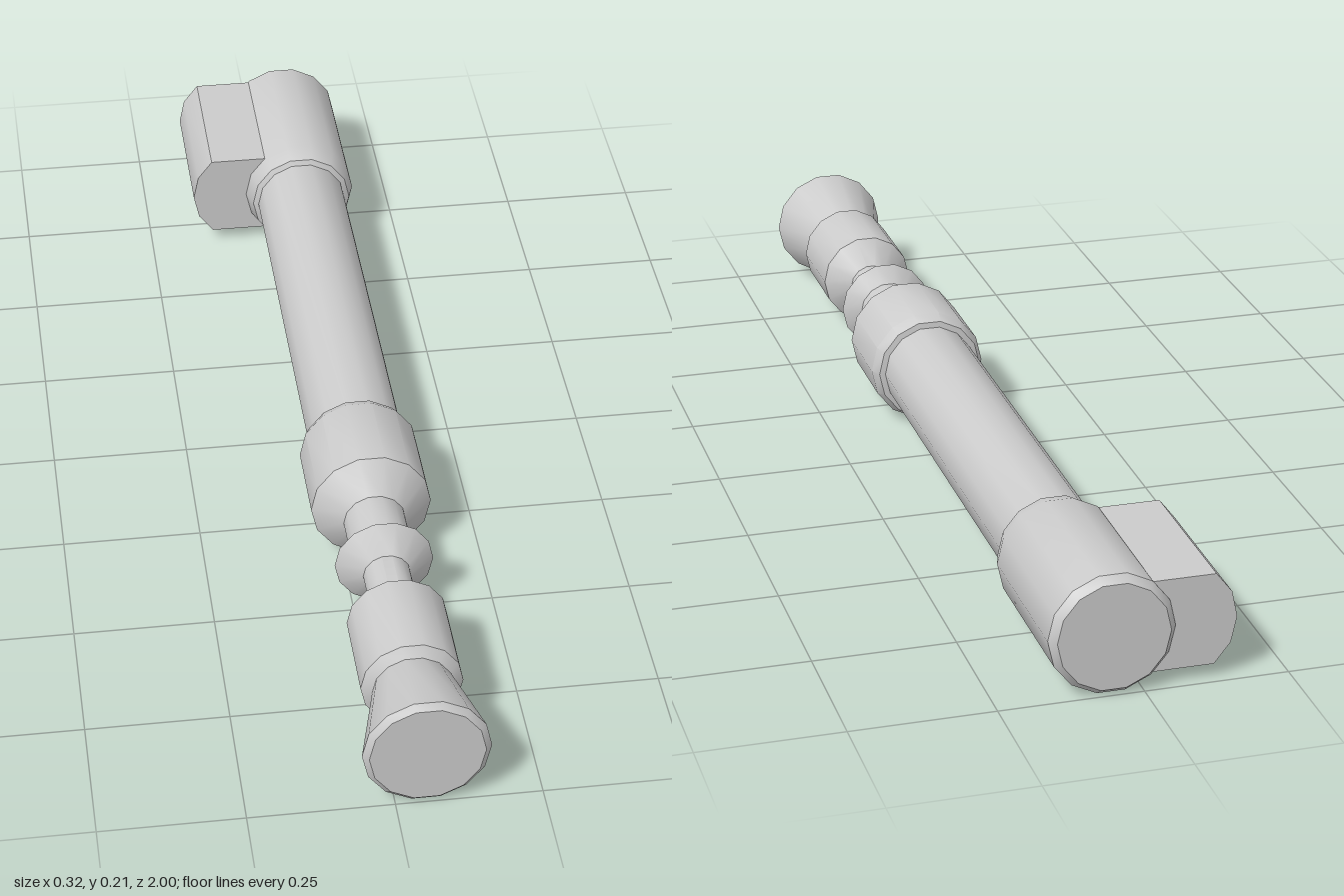
import * as THREE from 'three';
import { toCreasedNormals } from 'three/addons/utils/BufferGeometryUtils.js';

const AXIS_X = 0.053, AXIS_Y = 0.106, SIDES = 14;
const material = new THREE.MeshStandardMaterial({ color: 0xcccccc });

// Turned part along z; profile points are [radius, z] from back to front.
function turned(name, profile) {
  const points = profile.map(([r, z]) => new THREE.Vector2(r, z));
  const geometry = new THREE.LatheGeometry(points, SIDES, Math.PI / 2);
  geometry.rotateX(Math.PI / 2);
  const mesh = new THREE.Mesh(toCreasedNormals(geometry, 0.55), material);
  mesh.name = name;
  mesh.position.set(AXIS_X, AXIS_Y, 0);
  return mesh;
}

export function createModel() {
  const group = new THREE.Group();
  group.name = 'handle';

  // Rear housing with bevelled end and stepped front collar
  group.add(turned('rearHousing', [
    [0, -1], [0.097, -1], [0.109, -0.985], [0.109, -0.69], [0.098, -0.655], [0.088, -0.65],
  ]));

  // Long plain tube
  group.add(turned('tube', [[0.088, -0.66], [0.088, 0.17]]));

  // Front collar, tapering down to the neck
  group.add(turned('collar', [
    [0.088, 0.155], [0.099, 0.157], [0.109, 0.178], [0.109, 0.34], [0.056, 0.385],
  ]));

  // Neck with its sharp ring
  group.add(turned('neckRing', [
    [0.056, 0.385], [0.056, 0.475], [0.088, 0.5], [0.042, 0.535], [0.042, 0.615],
  ]));

  // Emitter body and flared front
  group.add(turned('emitter', [
    [0.042, 0.615], [0.088, 0.655], [0.088, 0.825], [0.07, 0.838],
  ]));
  group.add(turned('flare', [[0.07, 0.838], [0.109, 0.99], [0.098, 1], [0, 1]]));

  // Side box: rounded outer face, buried in the housing on the inner side
  const outline = [
    [AXIS_X, 0.024], [AXIS_X, 0.189], [-0.125, 0.189], [-0.153, 0.153],
    [-0.163, 0.106], [-0.153, 0.06], [-0.125, 0.024],
  ].map(([x, y]) => new THREE.Vector2(x, y));
  const box = new THREE.ExtrudeGeometry(new THREE.Shape(outline), { depth: 0.293, bevelEnabled: false });
  const sideBox = new THREE.Mesh(toCreasedNormals(box, 0.9), material);
  sideBox.name = 'sideBox';
  sideBox.position.z = -0.983;
  group.add(sideBox);

  return group;
}
